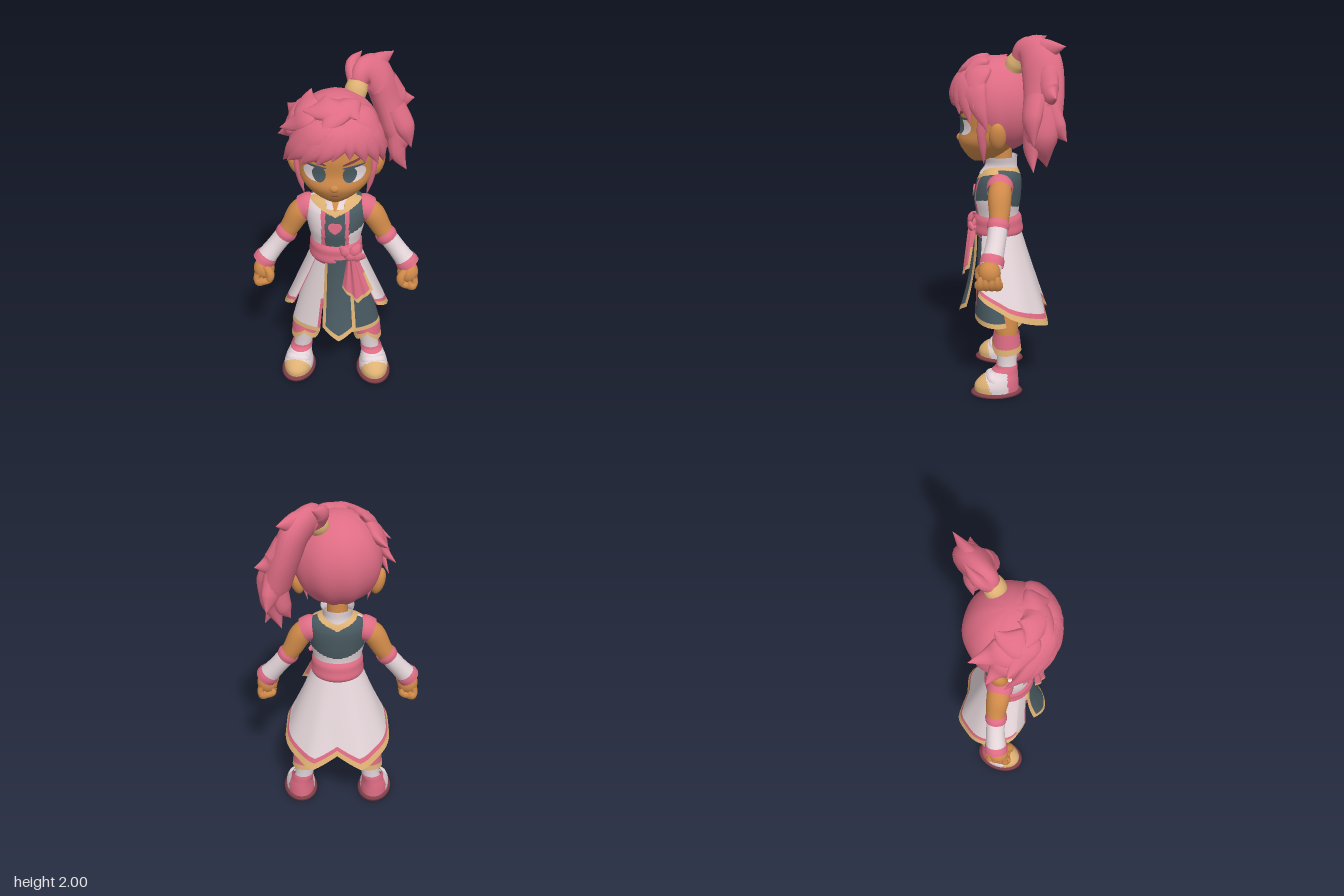
import * as THREE from 'three';

const mat = (name, color) => {
  const m = new THREE.MeshStandardMaterial({ color, side: THREE.DoubleSide });
  m.name = name;
  return m;
};
const M = {
  pink: mat('pink', 0xde6c84), skin: mat('skin', 0xd08a49), gold: mat('gold', 0xdeb174),
  white: mat('white', 0xe4d5d9), dark: mat('slate', 0x495a61), maroon: mat('maroon', 0x7f3e48),
};
const V = (a) => new THREE.Vector3(...a);
const D = Math.PI / 180;

// Grid surface f(u, v); paint(point, u, v) picks the colour of each cell
function surf(name, f, nu, nv, paint, wrap = false) {
  const pos = [], pts = [], cols = wrap ? nu : nu + 1, cells = {};
  for (let j = 0; j <= nv; j++) for (let i = 0; i < cols; i++) {
    const p = f(i / nu, j / nv);
    pts.push(p); pos.push(...p);
  }
  const pick = typeof paint === 'string' ? () => paint : paint;
  for (let j = 0; j < nv; j++) for (let i = 0; i < nu; i++) {
    const k = (i + 1) % cols, a = j * cols + i, b = j * cols + k, c = b + cols, d = a + cols;
    const mid = [0, 1, 2].map((n) => (pts[a][n] + pts[b][n] + pts[c][n] + pts[d][n]) / 4);
    (cells[pick(mid, (i + 0.5) / nu, (j + 0.5) / nv)] ??= []).push(a, b, c, a, c, d);
  }
  const g = new THREE.BufferGeometry(), index = [], mats = [];
  for (const key in cells) {
    g.addGroup(index.length, cells[key].length, mats.length);
    for (const n of cells[key]) index.push(n);
    mats.push(M[key]);
  }
  g.setIndex(index);
  g.setAttribute('position', new THREE.Float32BufferAttribute(pos, 3));
  g.computeVertexNormals();
  const mesh = new THREE.Mesh(g, mats.length > 1 ? mats : mats[0]);
  mesh.name = name;
  return mesh;
}

// Rows are [y, centre x, half width, front z, back z], joined by smooth curves
function rowAt(rows, y) {
  const n = rows.length - 1;
  let i = 0;
  while (i < n - 1 && y > rows[i + 1][0]) i++;
  const h = rows[i + 1][0] - rows[i][0], t = (y - rows[i][0]) / h;
  const slope = (k, c) => {
    const a = rows[Math.max(k - 1, 0)], b = rows[Math.min(k + 1, n)];
    return (b[c] - a[c]) / (b[0] - a[0]);
  };
  return [1, 2, 3, 4].map((c) => rows[i][c] * (1 + 2 * t) * (1 - t) ** 2 + slope(i, c) * h * t * (1 - t) ** 2
    + rows[i + 1][c] * t * t * (3 - 2 * t) + slope(i + 1, c) * h * t * t * (t - 1));
}
// gap(v) is the half angle left open at the front
function loft(name, rows, paint, nu = 32, nv = 24, gap = null) {
  return surf(name, (u, v) => {
    const k = Math.min(Math.floor(v * (rows.length - 1)), rows.length - 2), t = v * (rows.length - 1) - k;
    const y = rows[k][0] * (1 - t) + rows[k + 1][0] * t, a = gap ? gap(v) : 0;
    const [cx, rx, zf, zb] = rowAt(rows, y), th = (a + (360 - 2 * a) * u) * D;
    return [cx + Math.max(rx, 0.001) * Math.sin(th), y, (zf + zb) / 2 + (zf - zb) / 2 * Math.cos(th)];
  }, nu, nv, paint, !gap);
}

// Tapered tube with an oval section; radii are [across, along normal]
function taper(name, pts, radii, paint, normal = [0, 0, 1], nu = 12, nv = 14) {
  const path = new THREE.CatmullRomCurve3(pts.map(V));
  const size = new THREE.CatmullRomCurve3(radii.map((r) => V([r[0], r[1], 0])));
  return surf(name, (u, v) => {
    const p = path.getPoint(v), T = path.getTangent(v), s = size.getPoint(v);
    const W = T.clone().cross(V(normal)).normalize(), N = T.clone().cross(W);
    p.addScaledVector(W, Math.cos(u * 2 * Math.PI) * Math.max(s.x, 0));
    return p.addScaledVector(N, Math.sin(u * 2 * Math.PI) * Math.max(s.y, 0)).toArray();
  }, nu, nv, paint, true);
}
function ball(name, p, s, color) {
  const m = new THREE.Mesh(new THREE.SphereGeometry(1, 20, 14), M[color]);
  m.name = name; m.position.set(...p); m.scale.set(...s);
  return m;
}

function buildHead(root) {
  const rows = [[1.305, 0, 0.02, 0.19, 0.14], [1.325, 0, 0.07, 0.215, 0.07], [1.37, 0, 0.135, 0.25, 0],
    [1.43, 0, 0.185, 0.274, -0.06], [1.5, 0, 0.205, 0.258, -0.1], [1.6, 0, 0.215, 0.26, -0.13],
    [1.75, 0, 0.19, 0.22, -0.1], [1.84, 0, 0.09, 0.12, -0.02]];
  root.add(loft('head', rows, 'skin', 40, 35));
  // Face details follow the curve of the head
  const patch = (name, cx, cy, w, h, off, color, tilt = 0) => root.add(surf(name, (u, v) => {
    const a = -u * 2 * Math.PI, x = cx + v * w * Math.cos(a), y = cy + v * h * Math.sin(a) + tilt * (x - cx);
    const [, rx, zf, zb] = rowAt(rows, y);
    return [x, y, (zf + zb) / 2 + (zf - zb) / 2 * Math.sqrt(Math.max(0, 1 - (x / rx) ** 2)) + off];
  }, 24, 5, color, true));
  for (const s of [1, -1]) {
    patch('eyeWhite', s * 0.104, 1.513, 0.058, 0.046, 0.003, 'white');
    patch('iris', s * 0.079, 1.513, 0.036, 0.045, 0.006, 'dark');
    patch('eyelid', s * 0.1, 1.557, 0.06, 0.007, 0.008, 'dark', s * 0.06);
    patch('eyebrow', s * 0.095, 1.587, 0.055, 0.008, 0.008, 'maroon', s * 0.32);
    const ear = ball('ear', [s * 0.221, 1.477, 0.05], [0.036, 0.078, 0.046], 'skin');
    ear.rotation.z = -s * 0.25;
    root.add(ear);
  }
  patch('mouth', 0, 1.385, 0.022, 0.003, 0.003, 'maroon');
  root.add(ball('nose', [0, 1.435, 0.264], [0.026, 0.022, 0.02], 'skin'));
}

function buildHair(root) {
  const at = (th, phi, lift = 0) => {
    const k = 1 + lift, s = Math.sin(phi * D);
    return [0.243 * k * s * Math.sin(th * D), 1.62 + 0.262 * k * Math.cos(phi * D), 0.055 + 0.24 * k * s * Math.cos(th * D)];
  };
  // Cap: short over the face, long behind the ears and at the nape
  root.add(surf('hairCap', (u, v) => {
    const c = Math.cos(u * 2 * Math.PI), edge = c > 0 ? 112 - 33 * c : 112 + 48 * Math.sqrt(-c);
    return at(u * 360, edge * (1 - v), 0.015 * Math.sin(u * 18 * Math.PI + v * 4) * (1 - v));
  }, 72, 28, 'pink', true));
  // Swept locks: start azimuth and polar angle, tip azimuth and polar angle, width, tip lift
  const locks = [
    [5, 32, -84, 112, 0.085, 0.25], [10, 36, -64, 104, 0.085, 0.18], [12, 40, -42, 101, 0.085, 0.12],
    [16, 42, -20, 97, 0.08, 0.07], [18, 44, -2, 91, 0.07, 0.06], [22, 42, 18, 90, 0.065, 0.05],
    [24, 36, 38, 97, 0.08, 0.07], [32, 36, 58, 104, 0.08, 0.12], [45, 40, 80, 112, 0.075, 0.14],
    [-40, 30, -80, 76, 0.085, 0.24], [-70, 42, -120, 70, 0.085, 0.34], [-75, 55, -100, 92, 0.075, 0.3],
    [20, 18, -57, 46, 0.085, 0.15], [20, 16, -18, 62, 0.08, 0.13], [30, 16, 36, 50, 0.08, 0.12],
    [-35, 48, -112, 30, 0.08, 0.13], [50, 25, 64, 88, 0.08, 0.14],
  ];
  for (const [t0, p0, t1, p1, w, lift] of locks) {
    const mix = (k, l) => at(t0 + (t1 - t0) * k, p0 + (p1 - p0) * k, l);
    const n = V(mix(0.6, 0)).sub(V([0, 1.62, 0.055])).toArray();
    root.add(taper('hairLock', [mix(0, -0.06), mix(0.35, 0), mix(0.7, 0.025), mix(1, lift)],
      [[w * 0.4, 0.015], [w, 0.032], [w * 0.62, 0.027], [0, 0]], 'pink', n));
  }
  for (const s of [1, -1]) root.add(taper('sideLock',
    [[s * 0.2, 1.62, 0.12], [s * 0.2, 1.5, 0.135], [s * 0.185, 1.41, 0.13], [s * 0.165, 1.315, 0.125]],
    [[0.03, 0.02], [0.026, 0.018], [0.02, 0.016], [0, 0]], 'pink', [1, 0, 0]));
  // Ponytail with its tie and loose spikes
  root.add(taper('hairTie', [[0.09, 1.81, -0.025], [0.1, 1.85, -0.045], [0.115, 1.885, -0.065]],
    [[0.05, 0.055], [0.056, 0.06], [0.048, 0.05]], 'gold', [1, 0, 0.3], 16));
  root.add(taper('ponytail', [[0.1, 1.86, -0.05], [0.13, 1.912, -0.1], [0.205, 1.87, -0.17], [0.255, 1.75, -0.19],
    [0.305, 1.6, -0.185], [0.335, 1.49, -0.18], [0.29, 1.33, -0.21]],
  [[0.04, 0.04], [0.08, 0.055], [0.112, 0.074], [0.11, 0.075], [0.105, 0.075], [0.085, 0.062], [0, 0]],
  'pink', [1, 0.2, 0.3], 18, 36));
  const spikes = [
    [[0.1, 1.89, -0.08], [0.08, 1.95, -0.13], [0.125, 1.996, -0.205], 0.055],
    [[0.14, 1.9, -0.12], [0.21, 1.93, -0.2], [0.295, 1.957, -0.3], 0.07],
    [[0.25, 1.82, -0.2], [0.33, 1.72, -0.22], [0.415, 1.71, -0.25], 0.075],
    [[0.3, 1.7, -0.15], [0.365, 1.59, -0.13], [0.405, 1.46, -0.14], 0.07],
    [[0.32, 1.58, -0.14], [0.33, 1.44, -0.13], [0.385, 1.32, -0.14], 0.06],
    [[0.3, 1.58, -0.22], [0.275, 1.47, -0.22], [0.24, 1.39, -0.2], 0.055],
    [[0.31, 1.66, -0.21], [0.34, 1.55, -0.26], [0.36, 1.48, -0.31], 0.065],
  ];
  for (const [a, b, c, w] of spikes) root.add(taper('ponytailSpike', [a, b, c],
    [[w, w * 0.8], [w * 0.85, w * 0.6], [0, 0]], 'pink', [0.7, 0, 0.7]));
}

function buildTorso(root) {
  root.add(loft('torso', [[0.88, 0, 0.135, 0.18, -0.07], [1, 0, 0.137, 0.18, -0.06], [1.1, 0, 0.157, 0.192, -0.072],
    [1.2, 0, 0.172, 0.172, -0.075], [1.25, 0, 0.15, 0.14, -0.06], [1.28, 0, 0.09, 0.11, -0.04], [1.3, 0, 0.05, 0.08, -0.02]],
  ([x, y, z]) => {
    const ax = Math.abs(x), neck = (z > 0.05 ? 1.195 : 1.225) + ax * 0.42;
    if (y > neck) return y > neck + 0.03 && z > 0.05 && ax < 0.05 ? 'skin' : 'gold';
    if (z <= 0.03) return y > 1.1 - 0.055 * Math.cos(x * 9) && ax < 0.15 ? 'dark' : 'white';
    if (ax < 0.055) return 'dark';
    if (ax < 0.076) return 'pink';
    return x > 0 && y > 1.09 + (ax - 0.08) * 0.3 ? 'dark' : 'white';
  }, 160, 96));
  root.add(loft('neck', [[1.2, 0, 0.06, 0.09, -0.03], [1.4, 0, 0.055, 0.1, -0.02]], 'skin', 20, 4));
  // Standing collar, open in a V
  root.add(loft('collar', [[1.235, 0, 0.1, 0.16, -0.06], [1.285, 0, 0.083, 0.128, -0.05], [1.335, 0, 0.094, 0.135, -0.052]],
    'white', 48, 10, (v) => 4 + 24 * v));
  // Small chest badge
  const h = new THREE.Shape();
  h.moveTo(0, -0.036);
  h.bezierCurveTo(-0.06, 0, -0.04, 0.036, 0, 0.028);
  h.bezierCurveTo(0.04, 0.036, 0.06, 0, 0, -0.036);
  const badge = new THREE.Mesh(new THREE.ExtrudeGeometry(h, { depth: 0.008, bevelEnabled: false }), M.pink);
  badge.name = 'chestBadge'; badge.position.set(0, 1.135, 0.187); badge.rotation.x = -0.12;
  root.add(badge);
  // Sash, knot and hanging end
  root.add(loft('sash', [[0.885, 0, 0.138, 0.183, -0.07], [0.91, 0, 0.15, 0.198, -0.086], [0.95, 0, 0.147, 0.194, -0.08],
    [0.985, 0, 0.146, 0.195, -0.076], [1.01, 0, 0.136, 0.182, -0.06]], 'pink', 40, 16));
  root.add(ball('sashKnot', [0.085, 0.965, 0.198], [0.036, 0.034, 0.026], 'pink'));
  for (const [x, y] of [[0.165, 0.95], [0.135, 1.03], [0.03, 1.01]]) root.add(taper('sashLoop',
    [[0.085, 0.965, 0.2], [(x + 0.085) / 2, (y + 0.965) / 2 + 0.005, 0.205], [x, y, 0.182]],
    [[0.015, 0.015], [0.03, 0.016], [0.012, 0.01]], 'pink'));
  root.add(surf('sashEnd', (u, v) => {
    const s = u * 2 - 1, d = 1 - v, low = 0.675 + 0.07 * Math.abs(s - 0.05);
    return [0.09 + 0.037 * d + s * (0.025 + 0.062 * d), 0.96 + (low - 0.96) * d, 0.212 + 0.035 * d - 0.035 * s * s + 0.006 * Math.cos(s * 9)];
  }, 30, 36, (p, u, v) => (v < 0.09 || (u > 0.92 && v < 0.5) ? 'gold' : 'pink')));
}

function buildSkirt(root) {
  // Rounded cone, pulled out to two corners at the back and two at the front
  const cone = (th, y, k) => {
    const d = (0.95 - y) / 0.57, zf = 0.18 + 0.015 * d, zb = -0.06 - 0.17 * d, rx = 0.13 + 0.215 * d;
    const a = Math.abs(th - 180), bump = (c, w) => Math.exp(-(((a - c) / w) ** 2));
    const r = k * (1 + d * (0.09 * bump(24, 14) + 0.38 * bump(132, 24)));
    return [r * rx * Math.sin(th * D), y, (zf + zb) / 2 + r * (zf - zb) / 2 * Math.cos(th * D)];
  };
  // Open overskirt with a sloping hem, pointed at the back corners
  const hem = (th) => {
    const a = th > 180 ? 360 - th : th;
    if (a > 158) return 0.38 + (a - 158) * 0.0038;
    return a < 95 ? 0.48 + (95 - a) * 0.0023 : 0.48 - (a - 95) * 0.00159;
  };
  const over = (k) => (u, v) => {
    const th = 48 + 264 * u, y0 = hem(th);
    return cone(th, y0 + (0.95 - y0) * v, k);
  };
  root.add(surf('overskirt', over(1), 120, 60, (p, u, v) => (v < 0.06 ? 'gold' : v < 0.115 ? 'pink' : 'white')));
  root.add(surf('overskirtLining', over(0.965), 60, 10, 'pink'));
  // Front side panels: slate on the left, white on the right
  for (const s of [1, -1]) root.add(surf('sidePanel', (u, v) => {
    const th = s > 0 ? 20 + 125 * u : -125 + 105 * u, y = 0.4 + 0.53 * v, d = 1 - v;
    return [(0.125 + 0.135 * d) * Math.sin(th * D), y, 0.055 + (0.115 + 0.025 * d) * Math.cos(th * D)];
  }, 50, 40, (p, u, v) => {
    const e = s > 0 ? u : 1 - u;
    return v < 0.06 ? 'gold' : e < 0.05 && v < 0.45 ? 'pink' : s > 0 ? 'dark' : 'white';
  }));
  // Long pointed centre panel
  root.add(surf('centrePanel', (u, v) => {
    const s = u * 2 - 1, d = 1 - v, low = 0.412 + 0.065 * Math.abs(s);
    return [0.015 + 0.01 * d + s * (0.07 + 0.027 * d), 0.93 + (low - 0.93) * d, 0.198 + 0.085 * d * d - (0.015 + 0.035 * d) * s * s];
  }, 40, 50, (p, u, v) => (v < 0.06 || Math.abs(u - 0.5) > 0.41 ? 'gold' : 'dark')));
}

function buildArm(root, s) {
  const P = (list) => list.map(([x, y, z]) => [s * x, y, z]);
  const R = (...r) => r.map((a) => [a, a]);
  const limb = (name, pts, radii, color) => root.add(taper(name, P(pts), R(...radii), color, [0, 0, 1], 20));
  limb('sleeve', [[0.11, 1.2, 0.04], [0.15, 1.19, 0.04], [0.186, 1.172, 0.04]], [0.055, 0.073, 0.07], 'pink');
  limb('upperArm', [[0.14, 1.2, 0.035], [0.2, 1.15, 0.04], [0.25, 1.06, 0.04], [0.29, 0.99, 0.045]], [0.055, 0.064, 0.056, 0.048], 'skin');
  limb('bracer', [[0.275, 1.015, 0.045], [0.335, 0.935, 0.055], [0.415, 0.83, 0.078]], [0.053, 0.052, 0.06], 'white');
  limb('elbowBand', [[0.265, 1.028, 0.043], [0.28, 1.007, 0.046], [0.295, 0.987, 0.048]], [0.056, 0.061, 0.056], 'pink');
  limb('wristBand', [[0.388, 0.868, 0.07], [0.402, 0.848, 0.074], [0.416, 0.828, 0.078]], [0.06, 0.065, 0.064], 'pink');
  // Fist
  root.add(ball('palm', [s * 0.41, 0.785, 0.088], [0.06, 0.067, 0.06], 'skin'));
  for (let i = 0; i < 4; i++) {
    const z = 0.136 - i * 0.03;
    root.add(taper('finger', P([[0.445, 0.78, z], [0.448, 0.735, z], [0.41, 0.722, z], [0.375, 0.74, z], [0.385, 0.775, z]]), R(0.014, 0.021, 0.021, 0.02, 0), 'skin', [0, 0, 1], 10));
  }
  root.add(taper('thumb', P([[0.4, 0.82, 0.12], [0.37, 0.785, 0.143], [0.375, 0.745, 0.147], [0.385, 0.73, 0.143]]), R(0.02, 0.024, 0.02, 0), 'skin', [0, 0, 1], 10));
}

function buildLeg(root, s) {
  root.add(taper('thigh', [[s * 0.1, 0.68, 0.03], [s * 0.14, 0.52, 0.02], [s * 0.18, 0.37, 0.005], [s * 0.19, 0.27, 0]],
    [[0.09, 0.09], [0.085, 0.085], [0.064, 0.066], [0.055, 0.055]], 'skin', [0, 0, 1], 20));
  // Knee guard with notched front hem
  root.add(surf('kneeGuard', (u, v) => {
    const a = u * 2 * Math.PI, c = Math.cos(a);
    const low = c > 0 ? 0.3 - 0.06 * Math.min(1, Math.abs(Math.sin(a)) * 1.4) : 0.24 + 0.01 * -c;
    const r = 0.072 + 0.012 * (1 - v);
    return [s * 0.19 + r * Math.sin(a), low + (0.36 - low) * v, 0.003 + r * c];
  }, 48, 20, (p, u, v) => (v < 0.3 ? 'gold' : 'pink'), true));
  root.add(loft('shin', [[0.12, s * 0.212, 0.055, 0.055, -0.055], [0.2, s * 0.2, 0.056, 0.058, -0.055], [0.3, s * 0.192, 0.066, 0.068, -0.062]], 'white', 24, 8));
  // Boot, turned slightly outward
  const boot = new THREE.Group();
  boot.name = 'boot';
  boot.position.x = s * 0.222; boot.rotation.y = s * 0.14;
  const sole = [[0, 0, 0.001, 0.06, 0.058], [0.001, 0, 0.088, 0.186, -0.068], [0.026, 0, 0.09, 0.189, -0.071], [0.028, 0, 0.06, 0.15, -0.05]];
  boot.add(loft('sole', sole, 'maroon', 32, 9));
  boot.add(loft('bootUpper', [[0.022, 0, 0.087, 0.185, -0.068], [0.06, 0, 0.087, 0.183, -0.066], [0.095, 0, 0.078, 0.155, -0.064],
    [0.125, -s * 0.004, 0.068, 0.105, -0.062], [0.155, -s * 0.01, 0.064, 0.068, -0.062], [0.175, -s * 0.013, 0.06, 0.06, -0.06]],
  ([x, y, z]) => {
    if (y > 0.14 || z < 0.005) return 'pink';
    return z > 0.105 + (y - 0.05) * 0.3 ? 'gold' : 'white';
  }, 64, 40));
  boot.add(taper('instepStrap', [[-0.08, 0.055, 0.055], [-0.06, 0.105, 0.085], [0, 0.12, 0.103], [0.06, 0.105, 0.085], [0.08, 0.055, 0.055]],
    [[0.014, 0.006], [0.018, 0.009], [0.018, 0.009], [0.018, 0.009], [0.014, 0.006]], 'white', [0, 1, 0.6]));
  root.add(boot);
}

export function createModel() {
  const model = new THREE.Group();
  model.name = 'figure';
  for (const [name, build] of Object.entries({ head: buildHead, hair: buildHair, torso: buildTorso, skirt: buildSkirt })) {
    const g = new THREE.Group();
    g.name = name + 'Group';
    build(g); model.add(g);
  }
  for (const s of [1, -1]) {
    const side = s > 0 ? 'left' : 'right';
    const arm = new THREE.Group(), leg = new THREE.Group();
    arm.name = side + 'Arm'; leg.name = side + 'Leg';
    buildArm(arm, s); buildLeg(leg, s);
    model.add(arm, leg);
  }
  return model;
}
